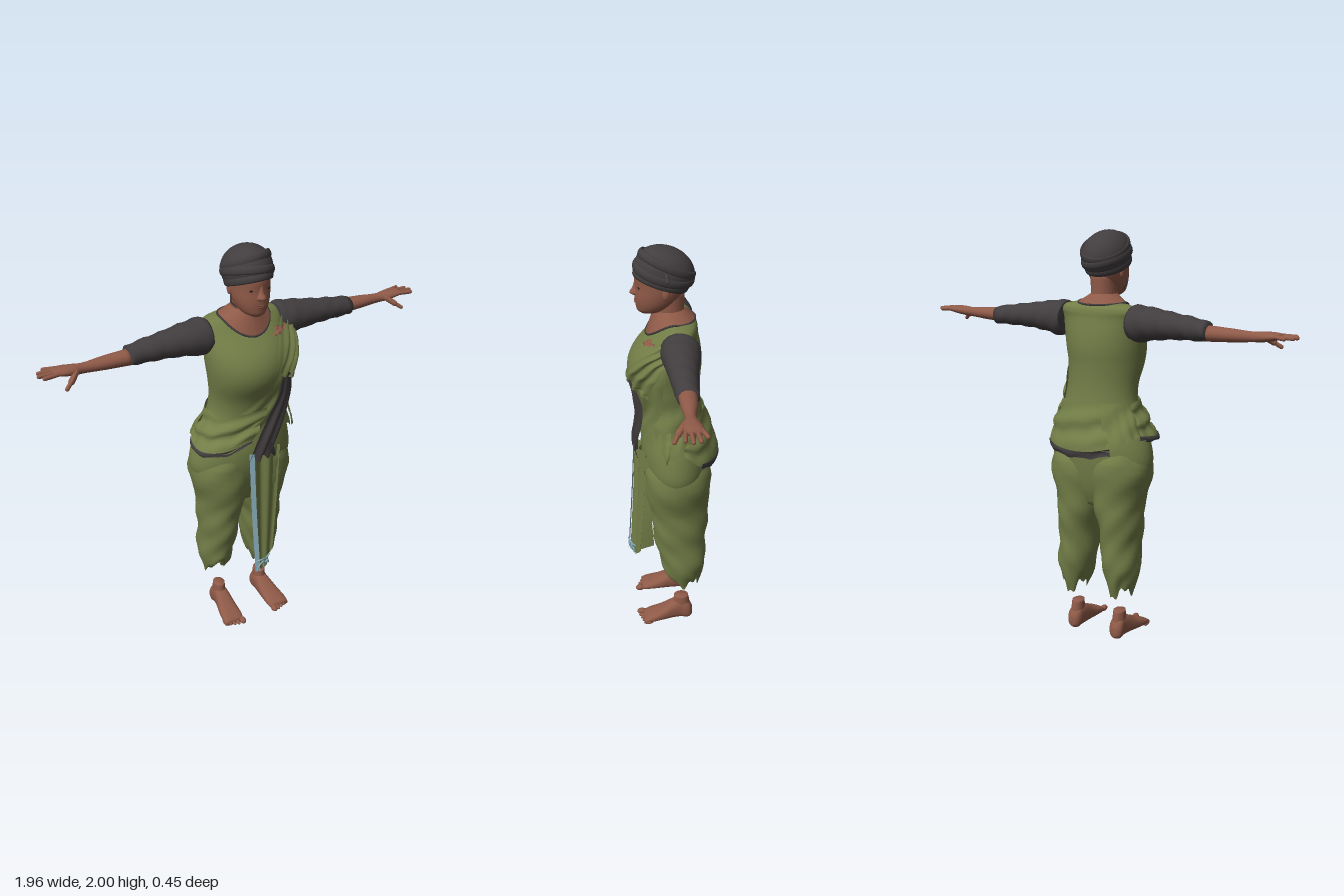
import * as THREE from 'three';

const mat = (name, color, side = THREE.FrontSide) => {
  const m = new THREE.MeshStandardMaterial({ color, side });
  m.name = name;
  return m;
};
const V = (x, y, z) => new THREE.Vector3(x, y, z);
const mix = THREE.MathUtils.lerp;

// Smooth lookup of sections [t, aMin, aMax, bMin, bMax]
function sampler(sections) {
  const f = new THREE.CubicInterpolant(sections.map(s => s[0]), sections.flatMap(s => s.slice(1)), 4);
  return t => {
    const [a0, a1, b0, b1] = f.evaluate(t);
    return [(a0 + a1) / 2, (a1 - a0) / 2, (b0 + b1) / 2, (b1 - b0) / 2];
  };
}

function gridGeometry(points, index) {
  const g = new THREE.BufferGeometry().setFromPoints(points);
  g.setIndex(index);
  g.computeVertexNormals();
  return g;
}

// Oval cross-sections joined along axis 0 = x, 1 = y or 2 = z
function loft(axis, sections, { seg = 24, steps = 4, power = 1, cap = true, rule } = {}) {
  const at = sampler(sections), pts = [], idx = [], ts = [];
  for (let i = 0; i < sections.length - 1; i++)
    for (let k = 0; k < steps; k++) ts.push(mix(sections[i][0], sections[i + 1][0], k / steps));
  ts.push(sections.at(-1)[0]);
  const put = (t, a, b) => V(0, 0, 0).setComponent(axis, t)
    .setComponent((axis + 1) % 3, a).setComponent((axis + 2) % 3, b);
  const soft = v => Math.sign(v) * Math.abs(v) ** power;
  ts.forEach((t, i) => {
    const [ca, ra, cb, rb] = at(t);
    for (let j = 0; j < seg; j++) {
      const q = j / seg * Math.PI * 2;
      const p = put(t, ca + ra * soft(Math.cos(q)), cb + rb * soft(Math.sin(q)));
      if (rule) rule(p, q, i / (ts.length - 1));
      pts.push(p);
      const n = (j + 1) % seg, a = i * seg + j, b = i * seg + n;
      if (i < ts.length - 1) idx.push(a, b, b + seg, a, b + seg, a + seg);
    }
  });
  if (cap) [0, ts.length - 1].forEach(i => {
    const [ca, , cb] = at(ts[i]), c = pts.length;
    pts.push(put(ts[i], ca, cb));
    for (let j = 0; j < seg; j++) {
      const a = i * seg + j, b = i * seg + (j + 1) % seg;
      idx.push(c, i ? a : b, i ? b : a);
    }
  });
  return gridGeometry(pts, idx);
}

// Cloth stretched between two edge curves; map turns edge values into positions
function cloth(edgeA, edgeB, map, nu = 28, nv = 14) {
  const [A, B] = [edgeA, edgeB].map(e => new THREE.CatmullRomCurve3(e.map(p => V(...p))));
  const pts = [], idx = [];
  for (let i = 0; i <= nu; i++) for (let j = 0; j <= nv; j++) {
    const u = i / nu, v = j / nv;
    pts.push(map(A.getPoint(u).lerp(B.getPoint(u), v), u, v));
    const a = i * (nv + 1) + j, b = a + nv + 1;
    if (i < nu && j < nv) idx.push(a, b, b + 1, a, b + 1, a + 1);
  }
  return gridGeometry(pts, idx);
}

function mirrored(geometry) {
  const g = geometry.clone().scale(-1, 1, 1), ix = g.index.array;
  for (let i = 0; i < ix.length; i += 3) [ix[i], ix[i + 1]] = [ix[i + 1], ix[i]];
  g.computeVertexNormals();
  return g;
}

function rod(a, b, r) {
  const d = b.clone().sub(a), g = new THREE.CapsuleGeometry(r, d.length(), 4, 10);
  g.applyQuaternion(new THREE.Quaternion().setFromUnitVectors(V(0, 1, 0), d.clone().normalize()));
  return g.translate(...a.clone().add(b).multiplyScalar(0.5).toArray());
}
const ball = (x, y, z, rx, ry, rz) => new THREE.SphereGeometry(1, 28, 20).scale(rx, ry, rz).translate(x, y, z);
const tube = (pts, r, closed = false) => new THREE.TubeGeometry(new THREE.CatmullRomCurve3(pts, closed), 48, r, 6, closed);

export function createModel() {
  const skin = mat('skin', 0x8f5a48, THREE.DoubleSide), green = mat('green cloth', 0x727d47, THREE.DoubleSide);
  const dark = mat('charcoal cloth', 0x423d3e, THREE.DoubleSide), blue = mat('blue trim', 0x8bb0be, THREE.DoubleSide);
  const ink = mat('eye brown', 0x2b1d1a), lip = mat('lips', 0x7d483c);
  const model = new THREE.Group();
  const add = (name, geometry, material, parent = model) => {
    const m = new THREE.Mesh(geometry, material);
    m.name = name;
    parent.add(m);
  };
  const pair = (name, geometry, material, rightDrop = 0) => {
    add('left' + name, geometry, material);
    add('right' + name, mirrored(geometry).translate(0, -rightDrop, 0), material);
  };

  // Dress body, from the hips to the shoulders
  const body = [
    [0.7, -0.13, 0.07, -0.12, 0.1], [0.78, -0.16, 0.1, -0.21, 0.19], [0.9, -0.18, 0.14, -0.275, 0.255],
    [1.0, -0.182, 0.15, -0.265, 0.25], [1.1, -0.165, 0.14, -0.22, 0.225], [1.2, -0.145, 0.14, -0.18, 0.195],
    [1.28, -0.135, 0.155, -0.175, 0.185], [1.38, -0.135, 0.2, -0.19, 0.19], [1.45, -0.14, 0.205, -0.2, 0.2],
    [1.52, -0.135, 0.175, -0.205, 0.205], [1.6, -0.12, 0.1, -0.205, 0.205], [1.64, -0.115, 0.06, -0.205, 0.205],
    [1.66, -0.1, 0.04, -0.17, 0.17], [1.672, -0.07, 0.02, -0.1, 0.1]];
  add('dress', loft(1, body, { seg: 40 }), green);
  const bodyAt = sampler(body);
  // Edge values are degrees from the front, height and distance off the body
  const onBody = (folds, depth = 0.007) => (p, u, v) => {
    const [cz, rz, cx, rx] = bodyAt(p.y), q = THREE.MathUtils.degToRad(p.x);
    const off = p.z + depth * Math.sin(v * folds * 6.28 + u * 5) * Math.sin(Math.PI * v);
    const y = p.y + 0.006 * Math.sin(u * 23) * v;
    return V(cx + (rx + off) * Math.sin(q), y, cz + (rz + off) * Math.cos(q));
  };

  // Baggy trouser legs with torn hems, meeting at the middle
  const leg = loft(1, [
    [0.25, -0.13, 0.0, 0.07, 0.18], [0.3, -0.145, 0.045, 0.045, 0.195], [0.38, -0.16, 0.065, 0.03, 0.21],
    [0.5, -0.165, 0.09, 0.015, 0.205], [0.6, -0.17, 0.105, 0.0, 0.21], [0.7, -0.177, 0.12, -0.03, 0.22],
    [0.9, -0.18, 0.14, -0.07, 0.253], [0.98, -0.15, 0.12, -0.04, 0.22]], {
    seg: 40, steps: 6, cap: false, rule: (p, q, s) => {
      const low = Math.max(0, 1 - s * 4), f = 0.006 * Math.sin(p.y * 34 + q * 2) * Math.sin(q * 3 + p.y * 9);
      p.z += f * Math.cos(q);
      p.x += f * Math.sin(q);
      p.y += low * (0.028 * Math.sin(q * 3 + 1) + 0.014 * Math.sin(q * 8) + 0.012 * Math.cos(q));
    } });
  add('leftTrouserLeg', leg, green);
  add('rightTrouserLeg', mirrored(leg).translate(-0.02, 0.02, 0), green);

  // Hanging front panel with its trim
  const panelL = [[-0.06, 1.02, 0.17], [-0.055, 0.7, 0.187], [-0.045, 0.35, 0.21]];
  const panelR = [[0.13, 1.0, 0.135], [0.11, 0.7, 0.145], [0.075, 0.41, 0.165]];
  add('frontPanel', cloth(panelL, panelR, (p, u, v) => p.add(V(0, -0.045 * u ** 6 * Math.sin(Math.PI * v),
    0.012 * Math.sin(v * 12.6) * (1 - u * 0.4))), 24, 24), green);
  add('panelTrim', cloth(panelL.map(p => [p[0] - 0.006, p[1], p[2] + 0.006]),
    panelL.map(p => [p[0] + 0.018, p[1], p[2] + 0.013]), p => p, 16, 2), blue);
  const stitch = (name, pts) => add(name, tube(pts.map(p => V(...p)), 0.0045), blue);
  stitch('hemStitchUpper', [[-0.045, 0.41, 0.216], [-0.015, 0.415, 0.22], [0.015, 0.402, 0.204], [0.045, 0.413, 0.192]]);
  stitch('hemStitchLeft', [[-0.042, 0.35, 0.216], [-0.03, 0.385, 0.22], [-0.01, 0.4, 0.22], [0.0, 0.36, 0.21]]);
  stitch('hemStitchRight', [[0.0, 0.405, 0.21], [0.012, 0.375, 0.204], [0.03, 0.385, 0.198], [0.035, 0.362, 0.194]]);
  add('panelSideFold', cloth([[0.13, 1, 0.135], [0.11, 0.7, 0.145], [0.078, 0.41, 0.165]],
    [[0.15, 1, 0.11], [0.138, 0.7, 0.11], [0.1, 0.45, 0.095]], p => p, 10, 3), green);

  // Drape across the chest from the left shoulder to the right waist
  add('shoulderDrape', cloth(
    [[100, 1.66, 0.015], [50, 1.625, 0.015], [26, 1.53, 0.01], [12, 1.42, 0.008], [-10, 1.3, 0.01], [-50, 1.18, 0.01]],
    [[120, 1.63, 0.018], [100, 1.58, 0.025], [88, 1.49, 0.035], [82, 1.35, 0.028], [60, 1.22, 0.02], [30, 1.1, 0.02]],
    onBody(3), 40, 24), green);
  add('shoulderFold', cloth(
    [[72, 1.655, 0.03], [48, 1.57, 0.03], [28, 1.48, 0.024], [20, 1.43, 0.02], [22, 1.41, 0.024]],
    [[98, 1.62, 0.035], [86, 1.54, 0.048], [76, 1.46, 0.05], [68, 1.38, 0.04], [62, 1.35, 0.04]],
    onBody(3, 0.012), 28, 24), green);
  add('sideDrape', cloth([[60, 1.36, 0.015], [85, 1.36, 0.02], [110, 1.32, 0.01], [125, 1.25, 0.008]],
    [[50, 1.08, 0.015], [75, 1.04, 0.018], [100, 1.1, 0.02], [125, 1.12, 0.015]], onBody(2)), green);
  // Small openings where skin shows beside the strap
  add('chestOpening', cloth([[20, 1.585, 0.024], [32, 1.6, 0.034], [46, 1.61, 0.042]],
    [[20, 1.58, 0.024], [31, 1.583, 0.034], [46, 1.602, 0.042]], onBody(0), 12, 3), skin);
  add('chestOpeningTip', cloth([[26, 1.607, 0.026], [33, 1.612, 0.032]],
    [[28, 1.595, 0.028], [36, 1.6, 0.034]], onBody(0), 6, 3), skin);

  // Gathered cloth around the right waist and the back, with dark hems
  const pouchHem = [[-108, 1.05, 0.015], [-85, 1.04, 0.025], [-60, 1.035, 0.047], [-35, 1.05, 0.05], [-10, 1.09, 0.03]];
  add('waistDrape', cloth([[-108, 1.2, 0.008], [-85, 1.21, 0.01], [-60, 1.2, 0.015], [-30, 1.22, 0.018],
    [10, 1.24, 0.018]], pouchHem, onBody(2, 0.012)), green);
  const backHem = [[100, 1.06, 0.012], [125, 1.0, 0.028], [155, 0.98, 0.038], [185, 0.98, 0.04], [210, 1.0, 0.03]];
  add('backDrape', cloth([[100, 1.18, 0.01], [125, 1.2, 0.012], [155, 1.22, 0.012], [185, 1.22, 0.012],
    [210, 1.21, 0.012]], backHem, onBody(2, 0.01), 32), green);
  add('backRightDrape', cloth([[205, 1.21, 0.012], [230, 1.21, 0.012], [255, 1.2, 0.01]],
    [[205, 1.0, 0.03], [230, 1.04, 0.03], [255, 1.06, 0.018]], onBody(1)), green);
  const hem = (name, edge, height) => {
    const low = edge.map(([d, y, o]) => [d, y - height, o - 0.002]);
    add(name, cloth(edge.map(([d, y, o]) => [d, y + 0.01, o + 0.005]), low, onBody(0), 28, 3), dark);
    add(name + 'Underside', cloth(low, low.map(([d, y]) => [d, y - 0.002, 0]), onBody(0), 28, 3), dark);
  };
  hem('waistHem', pouchHem, 0.012);
  hem('backHem', backHem.slice(1), 0.022);
  add('hipTatter', cloth([[62, 1.17, 0.03], [66, 1.1, 0.035], [72, 1.04, 0.025]],
    [[82, 1.18, 0.025], [80, 1.1, 0.03], [74, 1.03, 0.024]], onBody(1), 12, 6), green);

  // Dark sash hanging over the front from under the chest fold
  add('sash', cloth(
    [[0.085, 1.425, 0.195], [0.08, 1.3, 0.183], [0.035, 1.2, 0.174], [-0.03, 1.08, 0.182], [-0.065, 0.985, 0.18]],
    [[0.14, 1.41, 0.19], [0.178, 1.31, 0.145], [0.155, 1.2, 0.148], [0.1, 1.08, 0.168], [0.06, 0.99, 0.17]],
    (p, u, v) => p.add(V(0, 0.014 * Math.sin(v * 14) * u ** 6, 0.014 * Math.sin(Math.PI * v) + 0.004 * Math.sin(v * 14 + u * 3))),
    32, 18), dark);
  add('sashEnd', cloth([[0.02, 1.04, 0.19], [0.05, 1.0, 0.185], [0.08, 0.965, 0.17]],
    [[0.05, 1.06, 0.185], [0.07, 1.02, 0.18], [0.085, 0.97, 0.168]], p => p, 10, 4), dark);

  // Bare upper chest, neckline edging and neck
  const neckline = [], neckBase = [];
  for (let i = 0; i <= 24; i++) {
    const q = i / 24 * Math.PI * 2, c = Math.cos(q), s = Math.sin(q);
    neckline.push([0.122 * s, 1.671 - 0.08 * Math.max(c, 0) ** 1.5 - 0.008 * Math.max(-c, 0), 0.005 + 0.113 * c]);
    neckBase.push([0.06 * s, 1.708, 0.012 + 0.07 * c]);
  }
  add('upperChest', cloth(neckline, neckBase, p => p, 48, 6), skin);
  add('neckEdging', tube(neckline.slice(0, -1).map(p => V(...p)), 0.005, true), dark);
  add('neck', loft(1, [[1.64, -0.062, 0.088, -0.064, 0.064], [1.7, -0.058, 0.085, -0.061, 0.061],
    [1.8, -0.06, 0.07, -0.062, 0.062]]), skin);

  // Head and face
  add('head', loft(1, [[1.692, 0.07, 0.138, -0.026, 0.026], [1.704, 0.03, 0.153, -0.048, 0.048],
    [1.73, -0.01, 0.161, -0.069, 0.069], [1.77, -0.045, 0.165, -0.084, 0.084], [1.82, -0.072, 0.163, -0.091, 0.091],
    [1.87, -0.08, 0.165, -0.092, 0.092], [1.92, -0.07, 0.145, -0.086, 0.086]], { seg: 32 }), skin);
  add('nose', loft(1, [[1.774, 0.12, 0.165, -0.018, 0.018], [1.786, 0.12, 0.187, -0.024, 0.024],
    [1.81, 0.12, 0.175, -0.017, 0.017], [1.845, 0.12, 0.164, -0.013, 0.013]], { seg: 18 }), skin);
  add('upperLip', ball(0, 1.753, 0.157, 0.024, 0.005, 0.011), lip);
  add('lowerLip', ball(0, 1.744, 0.156, 0.02, 0.006, 0.011), lip);
  pair('Eye', ball(0.037, 1.822, 0.147, 0.016, 0.006, 0.005), ink);
  pair('Brow', rod(V(0.022, 1.846, 0.158), V(0.055, 1.847, 0.136), 0.0025), ink);
  pair('Ear', ball(0.088, 1.805, 0.03, 0.008, 0.026, 0.016), skin);
  add('rightEarring', tube([V(-0.09, 1.785, 0.05), V(-0.093, 1.755, 0.055), V(-0.08, 1.735, 0.06), V(-0.072, 1.725, 0.07)], 0.004), dark);

  // Headwrap, lower at the nape, with layered bands
  const wrap = new THREE.Group();
  wrap.name = 'headwrap';
  wrap.position.set(0, 1.888, 0.031);
  wrap.rotation.x = -0.36;
  model.add(wrap);
  add('headwrapCrown', ball(0, 0, 0, 0.112, 0.107, 0.139), dark, wrap);
  [[-0.045, 0.03, 0.03], [-0.01, 0.06, -0.1], [0.03, -0.08, 0.12]].forEach(([y, rx, rz], i) => {
    const g = new THREE.TorusGeometry(0.112 * Math.sqrt(1 - (y / 0.107) ** 2) - 0.003, 0.0075, 10, 40);
    g.scale(1, 1.24, 2.6).rotateX(Math.PI / 2 + rx).rotateZ(rz).translate(0, y, 0);
    add('headwrapBand' + (i + 1), g, dark, wrap);
  });
  add('headwrapTail', rod(V(0.1, 1.91, 0.03), V(0.128, 1.878, 0.025), 0.008), dark);

  // Sleeves, the right one slightly shorter, then forearms and hands
  const sleeve = end => loft(0, [[0.18, 1.505, 1.662, -0.113, 0.062], [0.21, 1.495, 1.668, -0.117, 0.065],
    [0.27, 1.507, 1.662, -0.11, 0.06], [0.4, 1.522, 1.642, -0.088, 0.045], [0.5, 1.525, 1.628, -0.078, 0.035],
    [end, 1.526, 1.613, -0.073, 0.024]], { rule: (p, q) => { p.y += 0.003 * Math.sin(p.x * 70 + q * 2); } });
  add('leftSleeve', sleeve(0.605), dark);
  add('rightSleeve', mirrored(sleeve(0.568)), dark);
  const hand = (name, geometry) => pair(name, geometry, skin, 0.009);
  hand('Forearm', loft(0, [[0.55, 1.535, 1.609, -0.066, 0.018], [0.68, 1.542, 1.602, -0.058, 0.012],
    [0.78, 1.55, 1.596, -0.043, 0.005], [0.83, 1.554, 1.6, -0.055, 0.018], [0.88, 1.564, 1.6, -0.064, 0.02],
    [0.91, 1.572, 1.595, -0.06, 0.016]]));
  [[-0.053, -0.07, 0.935], [-0.033, -0.042, 0.965], [-0.011, -0.012, 0.972], [0.009, 0.018, 0.958]].forEach(([z0, z1, x], i) =>
    hand('Finger' + (i + 1), rod(V(0.885, 1.584, z0), V(x, 1.582, z1), 0.0095)));
  hand('ThumbBase', rod(V(0.815, 1.574, 0.005), V(0.85, 1.548, 0.035), 0.014));
  hand('ThumbTip', rod(V(0.85, 1.548, 0.035), V(0.878, 1.528, 0.052), 0.0095));

  // Bare feet
  pair('Foot', loft(2, [[-0.1, 0.108, 0.142, 0.015, 0.06], [-0.085, 0.092, 0.158, 0, 0.09], [-0.04, 0.086, 0.16, 0, 0.115],
    [0.0, 0.083, 0.166, 0, 0.105], [0.06, 0.08, 0.18, 0, 0.07], [0.12, 0.08, 0.19, 0, 0.045],
    [0.155, 0.086, 0.188, 0, 0.028]], { power: 0.8 }), skin);
  pair('Ankle', loft(1, [[0.06, -0.09, 0.01, 0.09, 0.157], [0.1, -0.085, 0, 0.092, 0.155],
    [0.142, -0.078, -0.005, 0.095, 0.152]]), skin);
  for (let i = 0; i < 5; i++) {
    const r = i ? 0.0105 - i * 0.0005 : 0.016;
    pair('Toe' + (i + 1), ball(0.097 + i * 0.0205 + (i ? 0.004 : 0), r, 0.165 - i * 0.008, r, r, 0.024), skin);
  }
  return model;
}
